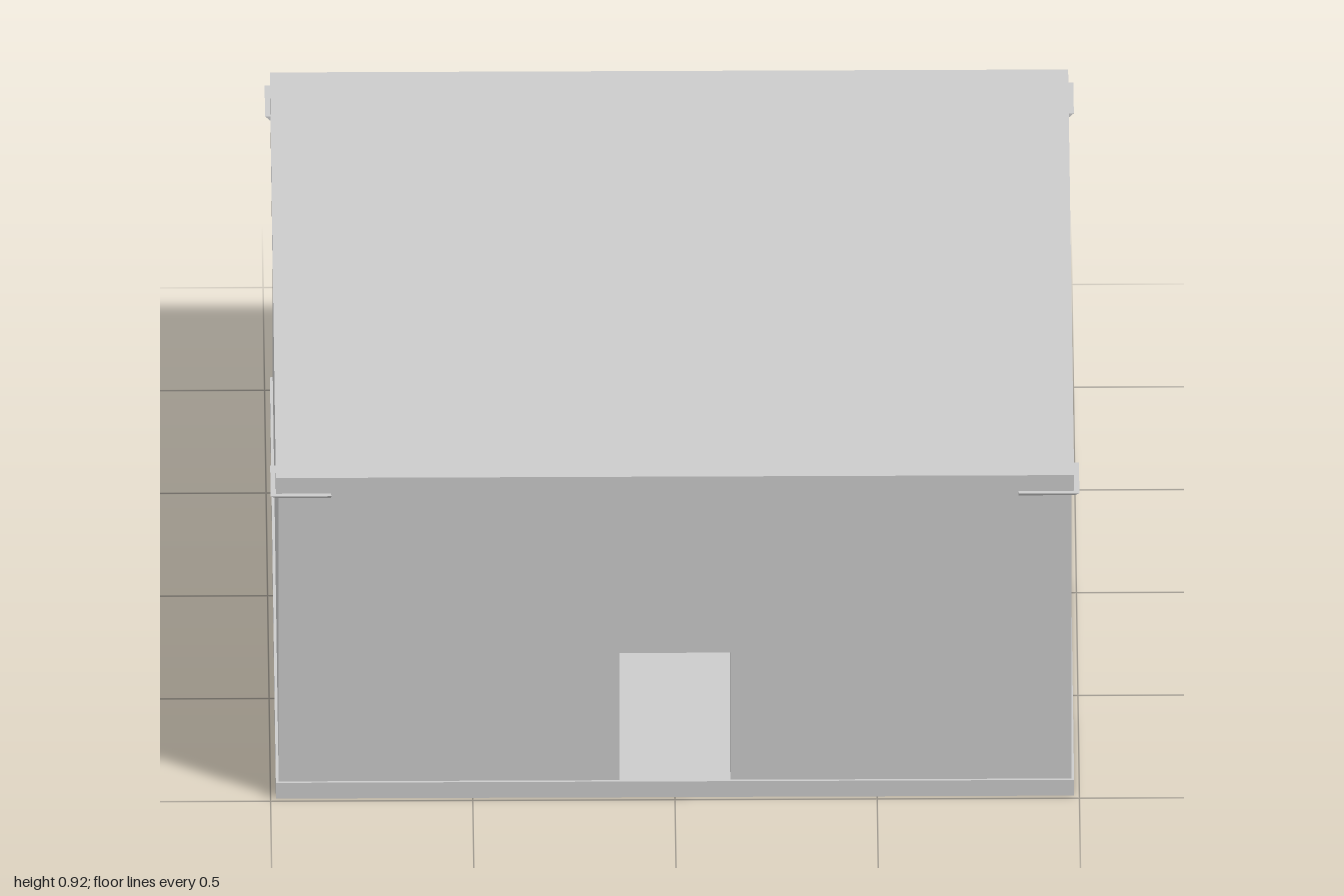
import * as THREE from 'three';
import { mergeGeometries } from 'three/addons/utils/BufferGeometryUtils.js';

const WALL = 0.98, THICK = 0.045, FLOOR = 0.045, CEILING = 0.875;
const DOOR_W = 0.137, DOOR_TOP = 0.41;
const GAP = 0.008, BRICK_DEPTH = 0.01, ROW = 0.065;

const material = new THREE.MeshStandardMaterial({ color: 0xcccccc, flatShading: true });

function add(parent, name, geometry, x = 0, y = 0, z = 0) {
  const mesh = new THREE.Mesh(geometry, material);
  mesh.name = name;
  mesh.position.set(x, y, z);
  parent.add(mesh);
  return mesh;
}

// Wall panel facing +z; one end stops short so four panels interlock at the corners.
function wallGeometry(hasDoor) {
  const end = WALL - THICK;
  const s = new THREE.Shape();
  s.moveTo(-WALL, FLOOR);
  if (hasDoor) {
    s.lineTo(-DOOR_W, FLOOR);
    s.lineTo(-DOOR_W, DOOR_TOP);
    s.lineTo(DOOR_W, DOOR_TOP);
    s.lineTo(DOOR_W, FLOOR);
  }
  s.lineTo(end, FLOOR);
  s.lineTo(end, CEILING);
  s.lineTo(-WALL, CEILING);
  s.closePath();
  return new THREE.ExtrudeGeometry(s, { depth: THICK, bevelEnabled: false });
}

// Raised bricks on the inner side: long and short alternate, rows are staggered.
function brickGeometry(hasDoor) {
  const limit = WALL - THICK - BRICK_DEPTH;
  const parts = [];
  const brick = (x0, x1, y0, y1) => {
    if (x1 - x0 < 0.01 || y1 - y0 < 0.01) return;
    const g = new THREE.BoxGeometry(x1 - x0, y1 - y0, BRICK_DEPTH);
    g.translate(-(x0 + x1) / 2, (y0 + y1) / 2, WALL - THICK - BRICK_DEPTH / 2);
    parts.push(g);
  };
  for (let row = 0; row < 14; row++) {
    const y0 = Math.max(0.02 + row * ROW + GAP / 2, FLOOR);
    const y1 = Math.min(0.02 + (row + 1) * ROW - GAP / 2, CEILING);
    let x = (row % 2 ? -0.12 : -0.06) - 0.24 * 4;
    for (let i = 0; x < limit; i++) {
      const length = i % 2 ? 0.09 : 0.15;
      const a = Math.max(x + GAP / 2, -limit);
      const b = Math.min(x + length - GAP / 2, limit);
      if (hasDoor && y1 < DOOR_TOP) {
        // Cut the course at the doorway
        brick(a, Math.min(b, -DOOR_W), y0, y1);
        brick(Math.max(a, DOOR_W), b, y0, y1);
      } else brick(a, b, y0, y1);
      x += length;
    }
  }
  return mergeGeometries(parts);
}

// L-shaped corner bracket with chamfered lower edges, for the +x +z corner.
function bracketGeometry() {
  const s = new THREE.Shape();
  const inner = 0.975, tip = 0.85;
  s.moveTo(1, 1);
  s.lineTo(tip, 1);
  s.lineTo(tip, inner);
  s.lineTo(inner, inner);
  s.lineTo(inner, tip);
  s.lineTo(1, tip);
  s.closePath();
  const g = new THREE.ExtrudeGeometry(s, { depth: 0.012, bevelEnabled: false });
  g.rotateX(Math.PI / 2);
  // Draw the underside in toward the wall
  const p = g.attributes.position;
  for (let i = 0; i < p.count; i++) {
    if (p.getY(i) > -0.006) continue;
    if (p.getX(i) > 0.99) p.setX(i, 0.988);
    if (p.getZ(i) > 0.99) p.setZ(i, 0.988);
  }
  g.computeVertexNormals();
  return g;
}

export function createModel() {
  const model = new THREE.Group();
  model.name = 'brickRoom';

  // Floor and roof slabs project slightly past the walls
  add(model, 'floorSlab', new THREE.BoxGeometry(1.974, FLOOR, 1.974), 0, FLOOR / 2, 0);
  add(model, 'roofSlab', new THREE.BoxGeometry(1.974, 0.045, 1.974), 0, CEILING + 0.0225, 0);

  // Front and left walls have doorways; back and right walls are solid
  ['front', 'left', 'back', 'right'].forEach((side, i) => {
    const hasDoor = i < 2;
    const group = new THREE.Group();
    group.name = side + 'Side';
    group.rotation.y = i * Math.PI / 2;
    add(group, side + 'Wall', wallGeometry(hasDoor), 0, 0, WALL - THICK);
    add(group, side + 'InnerBricks', brickGeometry(hasDoor));
    add(group, side + 'CornerBracket', bracketGeometry(), 0, CEILING, 0);
    model.add(group);
  });

  return model;
}
